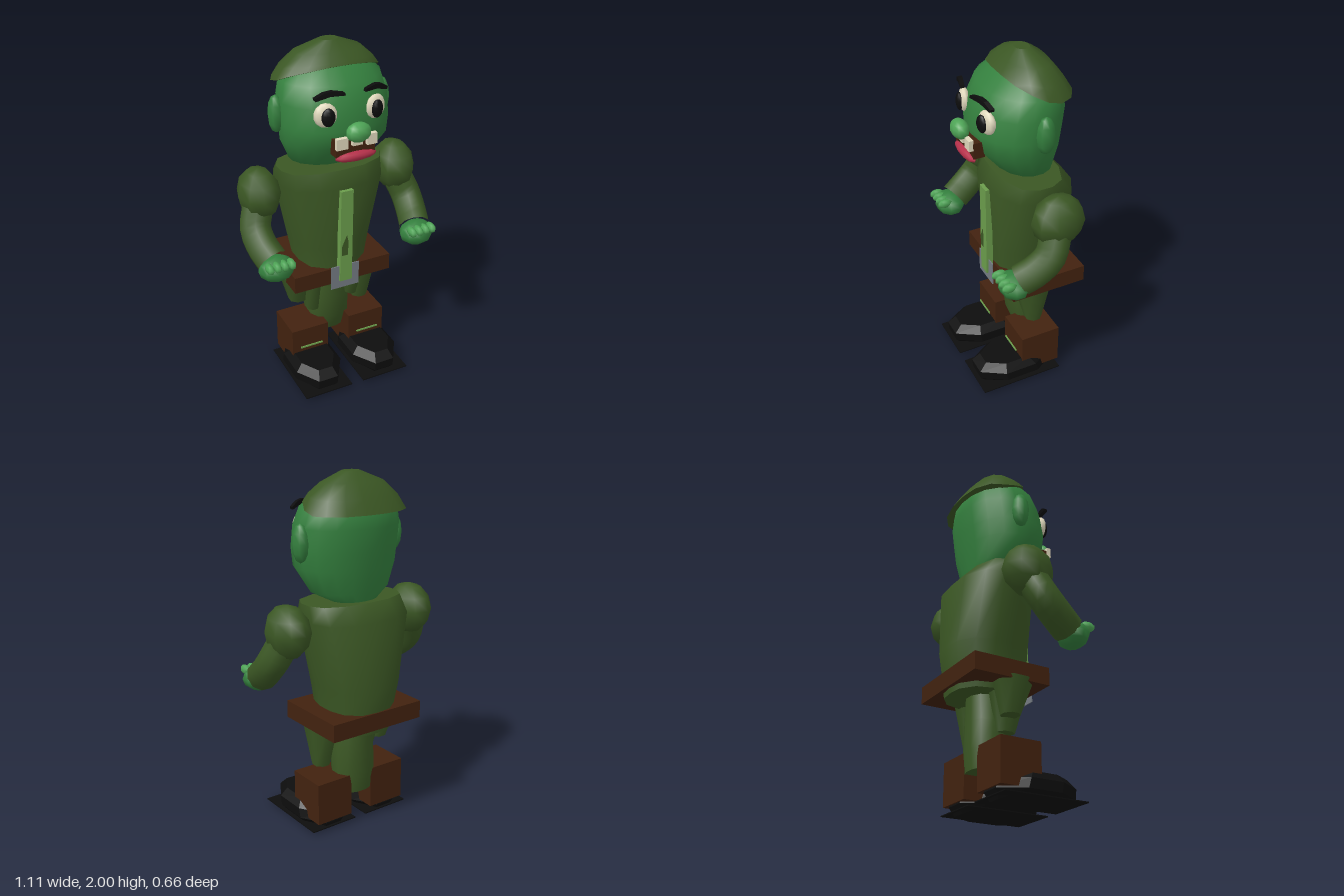
import * as THREE from 'three';

const mat = (name, color) => Object.assign(new THREE.MeshStandardMaterial({ color }), { name });

export function createModel() {
  const skin = mat('skin green', 0x34803e), light = mat('light green', 0x4da355);
  const cloth = mat('tunic green', 0x3b5724), lime = mat('lime', 0x6b9d4c);
  const brown = mat('leather brown', 0x42220f), black = mat('black', 0x0d0d0d);
  const grey = mat('buckle grey', 0x747b82), cream = mat('cream', 0xe0d8bc), pink = mat('lip pink', 0xb5304a);
  const model = new THREE.Group();
  model.name = 'figure';

  const add = (name, geo, m, x = 0, y = 0, z = 0, parent = model) => {
    const mesh = new THREE.Mesh(geo, m);
    mesh.name = name;
    mesh.position.set(x, y, z);
    parent.add(mesh);
    return mesh;
  };
  // Box given by its limits
  const box = (name, m, x0, x1, y0, y1, z0, z1, parent = model) =>
    add(name, new THREE.BoxGeometry(x1 - x0, y1 - y0, z1 - z0), m, (x0 + x1) / 2, (y0 + y1) / 2, (z0 + z1) / 2, parent);
  const ball = (name, m, x, y, z, rx, ry, rz, parent = model, w = 10, h = 7) =>
    add(name, new THREE.SphereGeometry(1, w, h).scale(rx, ry, rz), m, x, y, z, parent);

  // Closed loft of rounded rings from bottom to top; row = [y, zBack, zFront, halfWidth, x, frontLift]
  const loft = (rows, n, power = 2, flat = false) => {
    const pos = [], idx = [];
    const ring = ([y, zb, zf, rx, x = 0, lift = 0]) => {
      for (let j = 0; j < n; j++) {
        const a = ((j + 0.5) / n) * Math.PI * 2, c = Math.cos(a), s = Math.sin(a);
        const k = 1 / Math.pow(Math.abs(c) ** power + Math.abs(s) ** power, 1 / power);
        pos.push(x + c * k * rx, y + lift * Math.max(0, s), (zb + zf) / 2 + (s * k * (zf - zb)) / 2);
      }
    };
    rows.forEach(ring);
    for (let i = 0; i < rows.length - 1; i++)
      for (let j = 0; j < n; j++) {
        const a = i * n + j, b = i * n + ((j + 1) % n);
        idx.push(a, a + n, b, b, a + n, b + n);
      }
    // Separate cap vertices keep the end edges sharp
    [rows[0], rows[rows.length - 1]].forEach((row, end) => {
      const s = pos.length / 3;
      ring(row);
      for (let j = 1; j < n - 1; j++) idx.push(s, s + (end ? j + 1 : j), s + (end ? j : j + 1));
    });
    let g = new THREE.BufferGeometry();
    g.setAttribute('position', new THREE.Float32BufferAttribute(pos, 3));
    g.setIndex(idx);
    if (flat) g = g.toNonIndexed();
    g.computeVertexNormals();
    return g;
  };

  // Torso, belt, buckle and front strip
  add('torso', loft([[0.59, -0.3, 0.11, 0.19], [0.72, -0.315, 0.125, 0.2], [0.85, -0.33, 0.13, 0.225],
    [1.23, -0.31, 0.15, 0.305], [1.32, -0.23, 0.11, 0.3]], 14, 2.7), cloth);
  box('belt', brown, -0.3, 0.3, 0.62, 0.72, -0.32, 0.13);
  box('buckle', grey, -0.09, 0.085, 0.6, 0.745, 0.152, 0.158);
  const strip = box('tunicStrip', lime, -0.037, 0.037, 0.65, 1.22, 0.13, 0.17);
  strip.rotation.z = -0.01;
  const tear = new THREE.Shape([[-0.03, 0.82], [0.005, 0.82], [0.01, 0.9], [0, 0.95], [-0.03, 0.88]]
    .map(([x, y]) => new THREE.Vector2(x, y)));
  add('stripTear', new THREE.ShapeGeometry(tear), cloth, 0, 0, 0.174);

  // Legs and hanging tunic flaps
  add('legs', loft([[0.19, -0.18, -0.02, 0.11], [0.3, -0.19, 0.02, 0.125], [0.45, -0.19, 0.04, 0.12],
    [0.62, -0.19, 0.05, 0.1]], 12, 2.5), cloth);
  [ // bottom y, top y, bottom x, top x, bottom half width, top half width, z
    [0.37, 0.62, 0.195, 0.19, 0.05, 0.095, -0.045],
    [0.46, 0.62, 0.1, 0.09, 0.035, 0.06, 0.02],
    [0.45, 0.64, -0.205, -0.225, 0.055, 0.088, -0.05],
    [0.38, 0.62, -0.125, -0.14, 0.04, 0.065, -0.03],
  ].forEach(([y0, y1, x0, x1, r0, r1, z]) =>
    add('tunicFlap', loft([[y0, z - 0.055, z + 0.045, r0, x0], [y1, z - 0.11, z + 0.11, r1, x1]], 8, 2.6), cloth));

  // Head, nose and mouth
  const head = new THREE.Group();
  head.name = 'head';
  model.add(head);
  add('skull', loft([[1.31, -0.19, 0, 0.12], [1.37, -0.205, 0.11, 0.235], [1.5, -0.23, 0.22, 0.295],
    [1.6, -0.245, 0.235, 0.302], [1.72, -0.26, 0.212, 0.302], [1.82, -0.25, 0.165, 0.278],
    [1.9, -0.18, 0.07, 0.2], [1.93, -0.1, 0.02, 0.1]], 18, 2.15), skin, 0, 0, 0, head);
  add('hair', loft([[1.795, -0.285, 0.085, 0.298, 0, 0.1], [1.87, -0.24, 0.07, 0.26, 0, 0.04],
    [1.945, -0.18, 0.035, 0.185], [2, -0.1, -0.02, 0.05]], 16, 2.4), cloth, 0, 0, 0, head);
  ball('nose', light, 0, 1.613, 0.29, 0.07, 0.053, 0.047, head);
  box('mouth', brown, -0.115, 0.11, 1.48, 1.57, 0.2, 0.265, head);
  ball('lowerLip', pink, 0, 1.472, 0.262, 0.12, 0.028, 0.032, head);
  [[-0.12, -0.055, 1.53], [-0.03, 0.027, 1.54], [0.053, 0.11, 1.53]].forEach(([a, b, y]) =>
    box('tooth', cream, a, b, y, 1.59, 0.262, 0.288, head));

  for (const s of [1, -1]) {
    // Ears, eyes and brows
    ball('ear', skin, s * 0.31, 1.645, -0.043, 0.043, 0.105, 0.053, head, 8, 6);
    const eye = ball('eye', cream, s * 0.142, 1.695, 0.2, 0.062, 0.066, 0.03, head);
    eye.rotation.y = s * 0.25;
    const pupil = ball('pupil', black, s * 0.138, 1.692, 0.228, 0.036, 0.05, 0.02, head);
    pupil.rotation.y = s * 0.25;
    const brow = new THREE.Shape([[0.055, 1.805], [0.13, 1.803], [0.2, 1.78], [0.205, 1.795], [0.16, 1.822], [0.12, 1.83], [0.06, 1.82]]
      .map(([x, y]) => new THREE.Vector2(s * x, y)));
    const browGeo = new THREE.ExtrudeGeometry(brow, { depth: 0.025, bevelEnabled: false });
    const p = browGeo.attributes.position;
    for (let i = 0; i < p.count; i++) p.setZ(i, p.getZ(i) + 0.23 - 0.3 * Math.max(0, Math.abs(p.getX(i)) - 0.06));
    browGeo.computeVertexNormals();
    add('eyebrow', browGeo, black, 0, 0, 0, head);

    // Arm, hand and fingers
    const arm = new THREE.Group();
    arm.name = s > 0 ? 'leftArm' : 'rightArm';
    model.add(arm);
    ball('shoulder', cloth, s * 0.415, 1.195, -0.068, 0.117, 0.148, 0.15, arm, 9, 6);
    const path = new THREE.CatmullRomCurve3([[0.43, 1.13, -0.05], [0.468, 1.02, 0], [0.462, 0.945, 0.08], [0.44, 0.895, 0.16]]
      .map(([x, y, z]) => new THREE.Vector3(s * x, y, z)));
    add('forearm', new THREE.TubeGeometry(path, 8, 0.088, 10), cloth, 0, 0, 0, arm);
    ball('hand', skin, s * 0.433, 0.87, 0.195, 0.103, 0.072, 0.085, arm, 9, 6);
    for (let i = 0; i < 4; i++)
      ball('finger', light, s * (0.37 + i * 0.041), 0.912, 0.25, 0.023, 0.027, 0.046, arm, 7, 5);

    // Boot shaft, shoe, sole and lace
    const foot = new THREE.Group();
    foot.name = s > 0 ? 'leftBoot' : 'rightBoot';
    foot.position.x = s * 0.184;
    model.add(foot);
    box('bootShaft', brown, -0.115, 0.115, 0.06, 0.305, -0.17, 0.07, foot);
    add('shoe', loft([[0, -0.14, 0.27, 0.1], [0.05, -0.165, 0.315, 0.143], [0.105, -0.145, 0.32, 0.143],
      [0.15, -0.08, 0.275, 0.105]], 8, 4, true), black, 0, 0, 0, foot);
    box('sole', black, -0.147, 0.147, 0.018, 0.024, -0.165, 0.33, foot);
    box('lace', lime, -0.07, 0.07, 0.188, 0.197, 0.085, 0.092, foot);
  }
  return model;
}
